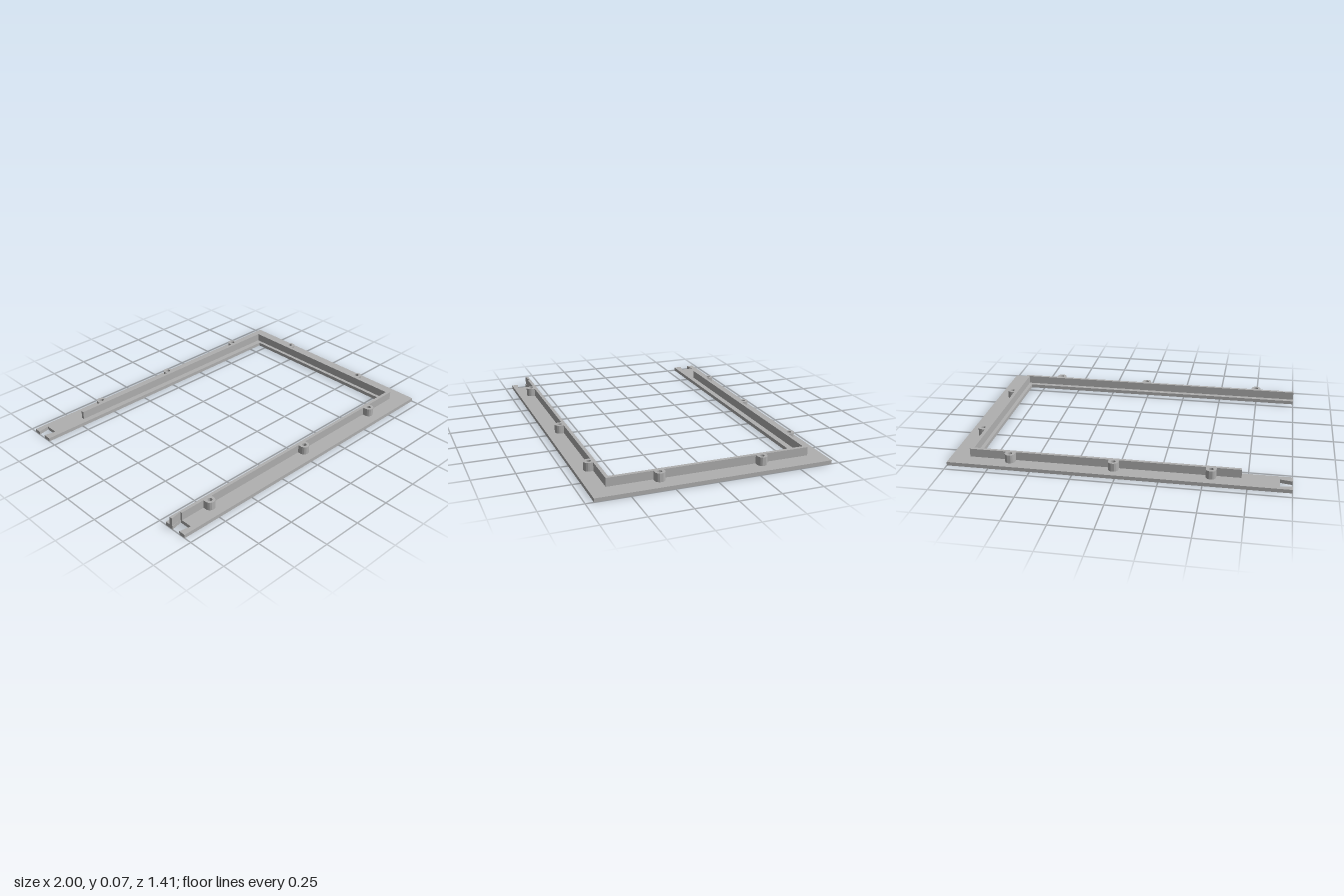
import * as THREE from 'three';
import { toCreasedNormals } from 'three/addons/utils/BufferGeometryUtils.js';

const BASE = 0.022, TOP = 0.073;

// Extrude a plan shape (drawn as x, -z) upwards from y0 to y1
function slab(shape, y0, y1) {
  const g = new THREE.ExtrudeGeometry(shape, { depth: y1 - y0, bevelEnabled: false, curveSegments: 20 });
  g.rotateX(-Math.PI / 2);
  g.translate(0, y0, 0);
  return toCreasedNormals(g, 0.6);
}

// Plan outline given as [x, z] pairs
const plan = (pts) => new THREE.Shape(pts.map(([x, z]) => new THREE.Vector2(x, -z)));

export function createModel() {
  const model = new THREE.Group();
  model.name = 'openFrame';
  const grey = new THREE.MeshStandardMaterial({ color: 0xb0b0b0 });
  grey.name = 'grey';

  const add = (name, geometry) => {
    const mesh = new THREE.Mesh(geometry, grey);
    mesh.name = name;
    model.add(mesh);
    return mesh;
  };

  // Flat three-sided plate with a dovetail notch in each arm end
  const notch = (s) => [[-1, s * 0.606], [-0.93, s * 0.592], [-0.93, s * 0.674], [-1, s * 0.66]];
  add('basePlate', slab(plan([
    [-1, -0.555], ...notch(-1), [-1, -0.703], [1, -0.703], [1, 0.703], [-1, 0.703],
    ...notch(1).reverse(), [-1, 0.552], [0.842, 0.552], [0.842, -0.555],
  ]), 0, BASE));

  // Thin upright rim; its front end is trimmed by the notch
  add('rimWall', slab(plan([
    [-0.715, -0.59], [-0.715, -0.61], [0.887, -0.61], [0.887, 0.603], [-0.93, 0.603],
    [-0.93, 0.592], [-1, 0.603], [-1, 0.583], [0.865, 0.583], [0.865, -0.59],
  ]), BASE, TOP));

  // Screw bosses: round outer side, straight sides back to the rim, open bore
  const r = 0.03, out = 0.019;
  const bossShape = new THREE.Shape();
  bossShape.moveTo(r, 0);
  bossShape.lineTo(r, out);
  bossShape.absarc(0, out, r, 0, Math.PI, false);
  bossShape.lineTo(-r, 0);
  bossShape.closePath();
  const bore = new THREE.Path();
  bore.absarc(0, out, 0.014, 0, Math.PI * 2, true);
  bossShape.holes.push(bore);
  const bossGeometry = slab(bossShape, BASE, TOP);

  const boss = (name, x, z, turn) => {
    const mesh = add(name, bossGeometry);
    mesh.position.set(x, 0, z);
    mesh.rotation.y = turn;
  };
  for (const x of [-0.543, 0.02, 0.635]) boss('backBoss', x, -0.61, 0);
  for (const x of [-0.745, 0.02, 0.635]) boss('frontBoss', x, 0.603, Math.PI);
  for (const z of [-0.308, 0.305]) boss('sideBoss', 0.887, z, -Math.PI / 2);

  return model;
}
